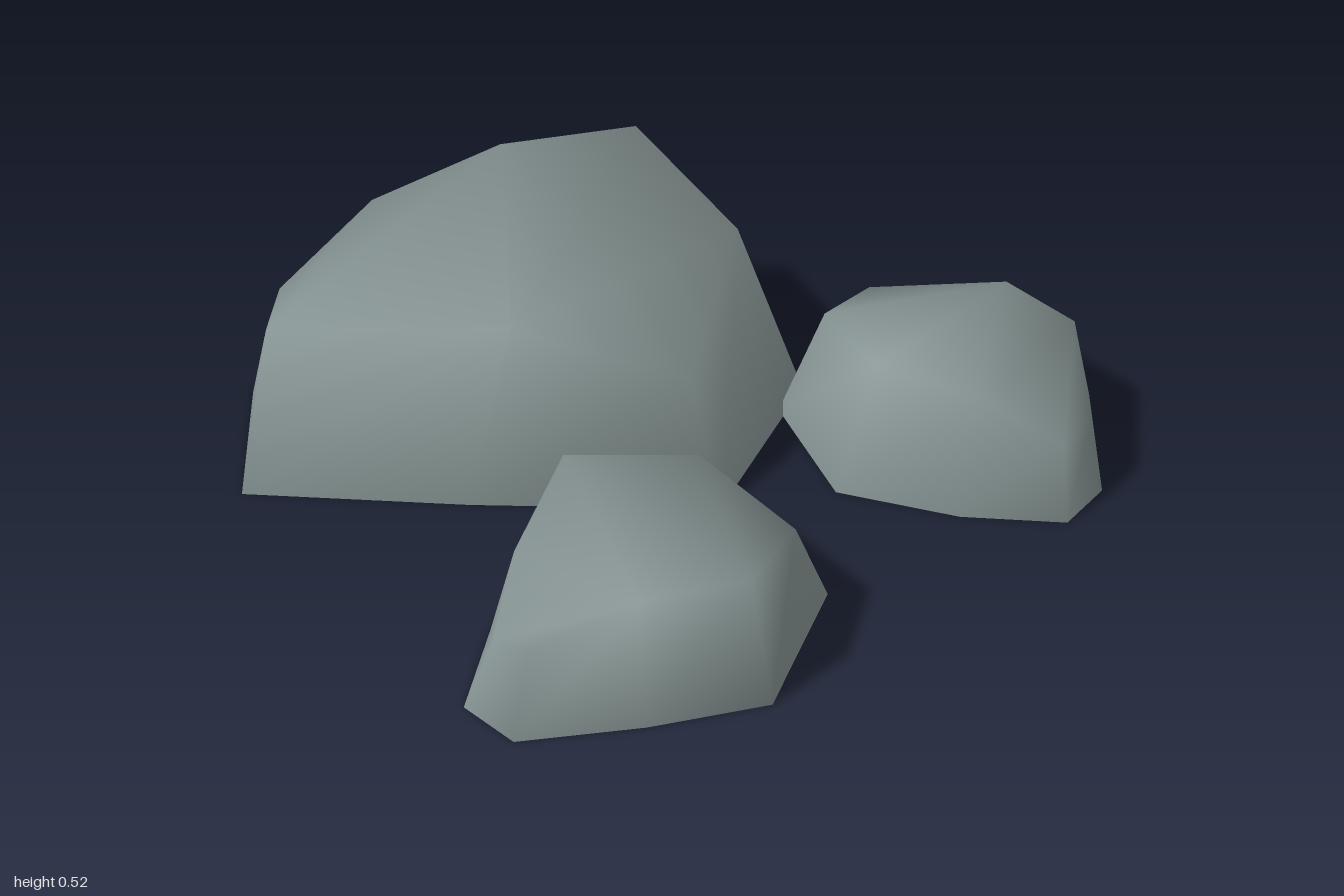
import * as THREE from 'three';

// Shell from a ground outline, a shoulder ring (both clockwise seen from above) and cap triangles
function makeRock(name, base, ring, cap, material) {
  const n = base.length;
  const points = [...base.map(([x, z]) => [x, 0, z]), ...ring];
  const index = [];
  for (let i = 0; i < n; i++) {
    const j = (i + 1) % n;
    index.push(j, i, n + i, j, n + i, n + j);
  }
  for (const [a, b, c] of cap) index.push(n + c, n + b, n + a);
  const geometry = new THREE.BufferGeometry();
  geometry.setAttribute('position', new THREE.Float32BufferAttribute(points.flat(), 3));
  geometry.setIndex(index);
  geometry.computeVertexNormals();
  const mesh = new THREE.Mesh(geometry, material);
  mesh.name = name;
  return mesh;
}

export function createModel() {
  const stone = new THREE.MeshStandardMaterial({ color: 0x839190 });
  stone.name = 'grey stone';
  stone.side = THREE.DoubleSide; // the rocks are open underneath

  const group = new THREE.Group();
  group.name = 'rocks';

  // Large boulder with a ridge at the back
  group.add(makeRock('largeRock',
    [[-1, -0.51], [-0.68, -0.71], [-0.26, -0.86], [0.22, -0.55], [0.22, 0.02 - 0.04], [-0.31, 0.2], [-0.81, 0.38], [-1, 0.02]],
    [[-0.92, 0.3, -0.47], [-0.63, 0.45, -0.62], [-0.305, 0.525, -0.72], [0.06, 0.45, -0.49],
      [0.12, 0.3, -0.08], [-0.24, 0.45, 0.1], [-0.73, 0.45, 0.33], [-0.92, 0.3, -0.02]],
    [[0, 1, 6], [0, 6, 7], [1, 5, 6], [1, 2, 5], [2, 3, 5], [3, 4, 5]], stone));

  // Small rock in front
  group.add(makeRock('frontRock',
    [[-0.08, 0.28], [0.22, 0.05], [0.55, 0.16], [0.57, 0.54], [0.36, 0.71], [0.13, 0.86], [-0.01, 0.81], [-0.07, 0.57]],
    [[0, 0.335, 0.34], [0.24, 0.285, 0.16], [0.5, 0.23, 0.25], [0.5, 0.285, 0.51],
      [0.33, 0.285, 0.66], [0.14, 0.2, 0.8], [0.05, 0.18, 0.78], [0, 0.25, 0.58]],
    [[0, 1, 3], [1, 2, 3], [0, 3, 4], [0, 4, 7], [4, 6, 7], [4, 5, 6]], stone));

  // Small rock at the back
  group.add(makeRock('backRock',
    [[0.26, -0.8], [0.64, -0.86], [0.87, -0.81], [1, -0.45], [0.96, -0.3], [0.73, -0.22], [0.44, -0.19], [0.2, -0.44]],
    [[0.31, 0.2, -0.75], [0.64, 0.28, -0.79], [0.83, 0.26, -0.72], [0.95, 0.185, -0.46],
      [0.92, 0.185, -0.34], [0.73, 0.295, -0.28], [0.49, 0.335, -0.26], [0.29, 0.28, -0.48]],
    [[0, 1, 7], [1, 6, 7], [1, 5, 6], [1, 2, 5], [2, 4, 5], [2, 3, 4]], stone));

  return group;
}
